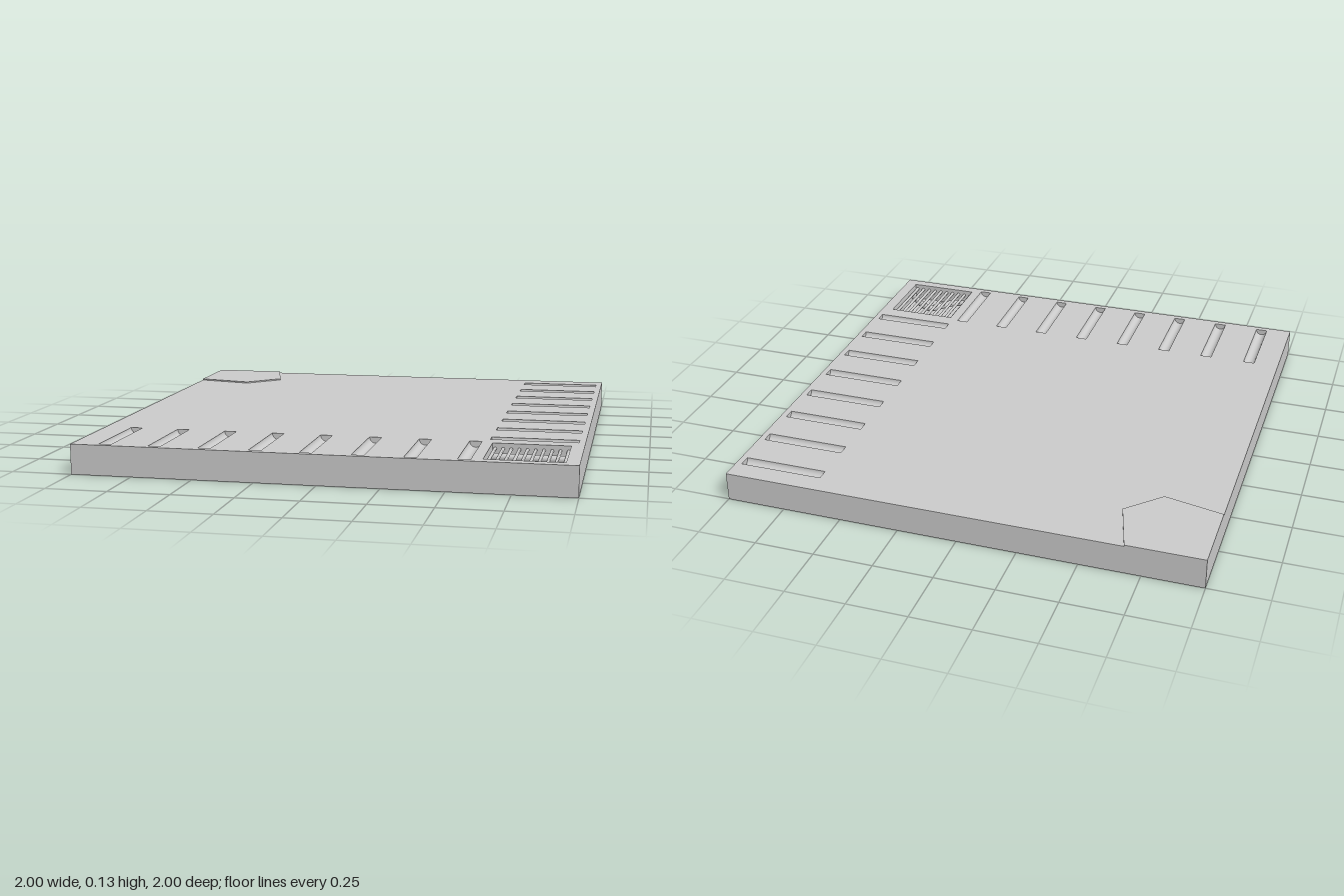
import * as THREE from 'three';

const TOP = 0.123, R = 0.025, COUNT = 8, STEP = 0.2045;
const SLOT_MID = 0.797, SLOT_LEN = 0.354;
const PIT = { x0: 0.637, x1: 0.948, z0: 0.642, z1: 0.955, floor: 0.045 };

const solid = new THREE.MeshStandardMaterial({ color: 0xcccccc });
const open = new THREE.MeshStandardMaterial({ color: 0xcccccc, side: THREE.DoubleSide });

function add(group, name, geometry, material = solid) {
  const mesh = new THREE.Mesh(geometry, material);
  mesh.name = name;
  group.add(mesh);
  return mesh;
}

// Outline through x, z points, drawn so that a quarter turn lays it flat
const outline = (pts, Kind = THREE.Shape) =>
  new Kind(pts.map(([x, z]) => new THREE.Vector2(x, -z)));
const rect = (x0, x1, z0, z1, Kind) =>
  outline([[x0, z1], [x1, z1], [x1, z0], [x0, z0]], Kind);

// Box without its top face
function openBox(w, h, d) {
  const g = new THREE.BoxGeometry(w, h, d);
  const index = Array.from(g.index.array);
  index.splice(12, 6);
  g.setIndex(index);
  g.clearGroups();
  return g;
}

export function createModel() {
  const model = new THREE.Group();
  model.name = 'floorTile';

  // Slab sides and underside
  add(model, 'slabBody', openBox(2, TOP, 2)).position.y = TOP / 2;

  // Top surface pierced by the slots and the service pit
  const surface = rect(-1, 1, -1, 1);
  surface.holes.push(rect(PIT.x0, PIT.x1, PIT.z0, PIT.z1, THREE.Path));

  // Half-round slots along the front and left edges
  const slotGeometry = new THREE.CylinderGeometry(R, R, SLOT_LEN, 16, 1, false, Math.PI / 2, Math.PI);
  slotGeometry.rotateX(Math.PI / 2).rotateZ(Math.PI);
  const a = SLOT_MID - SLOT_LEN / 2, b = SLOT_MID + SLOT_LEN / 2;
  // Keep the curved side facing down
  slotGeometry.computeBoundingBox();
  if (slotGeometry.boundingBox.max.y > R / 2) slotGeometry.rotateZ(Math.PI);
  for (let i = 0; i < COUNT; i++) {
    const x = -0.864 + i * STEP, z = -0.886 + i * STEP;
    surface.holes.push(rect(x - R, x + R, a, b, THREE.Path));
    surface.holes.push(rect(a, b, z - R, z + R, THREE.Path));
    add(model, 'frontSlot', slotGeometry, open).position.set(x, TOP, SLOT_MID);
    const side = add(model, 'sideSlot', slotGeometry, open);
    side.position.set(SLOT_MID, TOP, z);
    side.rotation.y = Math.PI / 2;
  }
  const surfaceGeometry = new THREE.ShapeGeometry(surface).rotateX(-Math.PI / 2);
  add(model, 'slabTop', surfaceGeometry).position.y = TOP;

  // Raised corner plate
  const plate = outline([[-1, -1], [-1, -0.68], [-0.75, -0.626], [-0.613, -0.763], [-0.68, -1]]);
  const plateGeometry = new THREE.ExtrudeGeometry(plate, { depth: 0.006, bevelEnabled: false });
  add(model, 'cornerPlate', plateGeometry.rotateX(-Math.PI / 2)).position.y = TOP;

  // Service pit with grating and pipes
  const pit = new THREE.Group();
  pit.name = 'servicePit';
  model.add(pit);
  const w = PIT.x1 - PIT.x0, d = PIT.z1 - PIT.z0, h = TOP - PIT.floor;
  const cx = (PIT.x0 + PIT.x1) / 2, cz = (PIT.z0 + PIT.z1) / 2;
  add(pit, 'pitLining', openBox(w, h, d), open).position.set(cx, PIT.floor + h / 2, cz);

  const bar = new THREE.CylinderGeometry(0.007, 0.007, d, 8, 1).rotateX(Math.PI / 2);
  for (let i = 0; i < 10; i++) {
    add(pit, 'gratingBar', bar).position.set(PIT.x0 + 0.01 + i * 0.0323, 0.1, cz);
  }

  const pipe = new THREE.CylinderGeometry(0.016, 0.016, w, 12).rotateZ(Math.PI / 2);
  add(pit, 'straightPipe', pipe).position.set(cx, 0.076, 0.69);

  const bend = new THREE.CatmullRomCurve3(
    [[PIT.x0, 0.902], [0.71, 0.9], [0.76, 0.85], [0.81, 0.802], [0.87, 0.835], [PIT.x1, 0.915]]
      .map(([x, z]) => new THREE.Vector3(x, 0.076, z)));
  add(pit, 'bentPipe', new THREE.TubeGeometry(bend, 32, 0.016, 10), open);

  return model;
}
